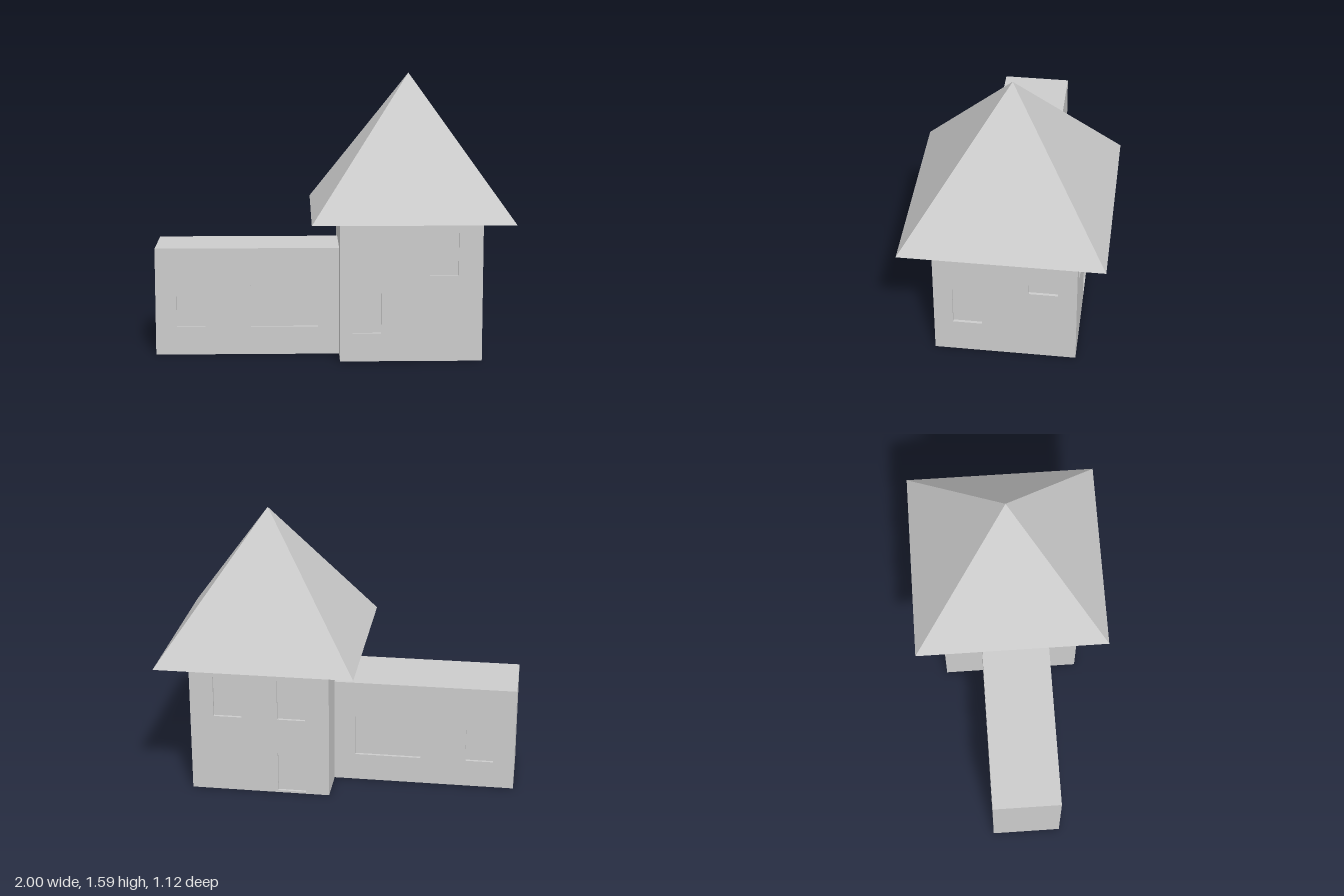
import * as THREE from 'three';

const DEPTH = 0.016; // window recess
const material = new THREE.MeshStandardMaterial({ color: 0xcccccc, flatShading: true });

function addMesh(parent, name, geometry) {
  const mesh = new THREE.Mesh(geometry, material);
  mesh.name = name;
  parent.add(mesh);
  return mesh;
}

function rectangle(path, u0, u1, y0, y1) {
  path.moveTo(u0, y0);
  path.lineTo(u1, y0);
  path.lineTo(u1, y1);
  path.lineTo(u0, y1);
  path.closePath();
  return path;
}

// Thin wall with window openings; u runs to the right as seen from outside
function wallGeometry(u0, u1, height, windows) {
  const shape = rectangle(new THREE.Shape(), u0, u1, 0, height);
  for (const [a, b, y0, y1] of windows) {
    shape.holes.push(rectangle(new THREE.Path(), a, b, y0, y1));
  }
  return new THREE.ExtrudeGeometry(shape, { depth: DEPTH, bevelEnabled: false });
}

// Mirrors window spans for walls whose u axis opposes the world axis
const flip = (windows) => windows.map(([a, b, y0, y1]) => [-b, -a, y0, y1]);

// Solid core, which closes the windows, with walls around it
function addBlock(parent, name, { x0, x1, z0, z1, height, front, back, side }) {
  const block = new THREE.Group();
  block.name = name;
  parent.add(block);

  const coreX1 = side ? x1 - DEPTH : x1;
  const core = addMesh(block, name + 'Core',
    new THREE.BoxGeometry(coreX1 - x0, height, z1 - z0 - 2 * DEPTH));
  core.position.set((x0 + coreX1) / 2, height / 2, (z0 + z1) / 2);

  const frontWall = addMesh(block, name + 'FrontWall', wallGeometry(x0, x1, height, front));
  frontWall.position.z = z1 - DEPTH;

  const backWall = addMesh(block, name + 'BackWall', wallGeometry(-x1, -x0, height, flip(back)));
  backWall.rotation.y = Math.PI;
  backWall.position.z = z0 + DEPTH;

  if (side) {
    const sideWall = addMesh(block, name + 'SideWall',
      wallGeometry(-z1 + DEPTH, -z0 - DEPTH, height, flip(side)));
    sideWall.rotation.y = Math.PI / 2;
    sideWall.position.x = x1 - DEPTH;
  }
}

export function createModel() {
  const house = new THREE.Group();
  house.name = 'house';

  // Square main building
  addBlock(house, 'tower', {
    x0: 0.04, x1: 0.835, z0: -0.398, z1: 0.398, height: 0.796,
    front: [[0.11, 0.27, 0.16, 0.4], [0.54, 0.7, 0.485, 0.727]],
    back: [[0.54, 0.7, 0.46, 0.7], [0.175, 0.335, 0.46, 0.7], [0.175, 0.335, 0.012, 0.25]],
    side: [[0.13, 0.292, 0.205, 0.445], [-0.292, -0.13, 0.457, 0.697]],
  });

  // Low flat-roofed wing
  const wingWindows = [[-0.88, -0.72, 0.16, 0.4], [-0.46, -0.08, 0.16, 0.4]];
  addBlock(house, 'wing', {
    x0: -1, x1: 0.04, z0: -0.173, z1: 0.22, height: 0.613,
    front: wingWindows, back: wingWindows,
  });

  // Pyramid roof with wide eaves
  const roofHeight = 0.789;
  const roofGeometry = new THREE.ConeGeometry(0.558 * Math.SQRT2, roofHeight, 4);
  roofGeometry.rotateY(Math.PI / 4);
  const roof = addMesh(house, 'roof', roofGeometry);
  roof.position.set(0.44, 0.796 + roofHeight / 2, 0);

  return house;
}
